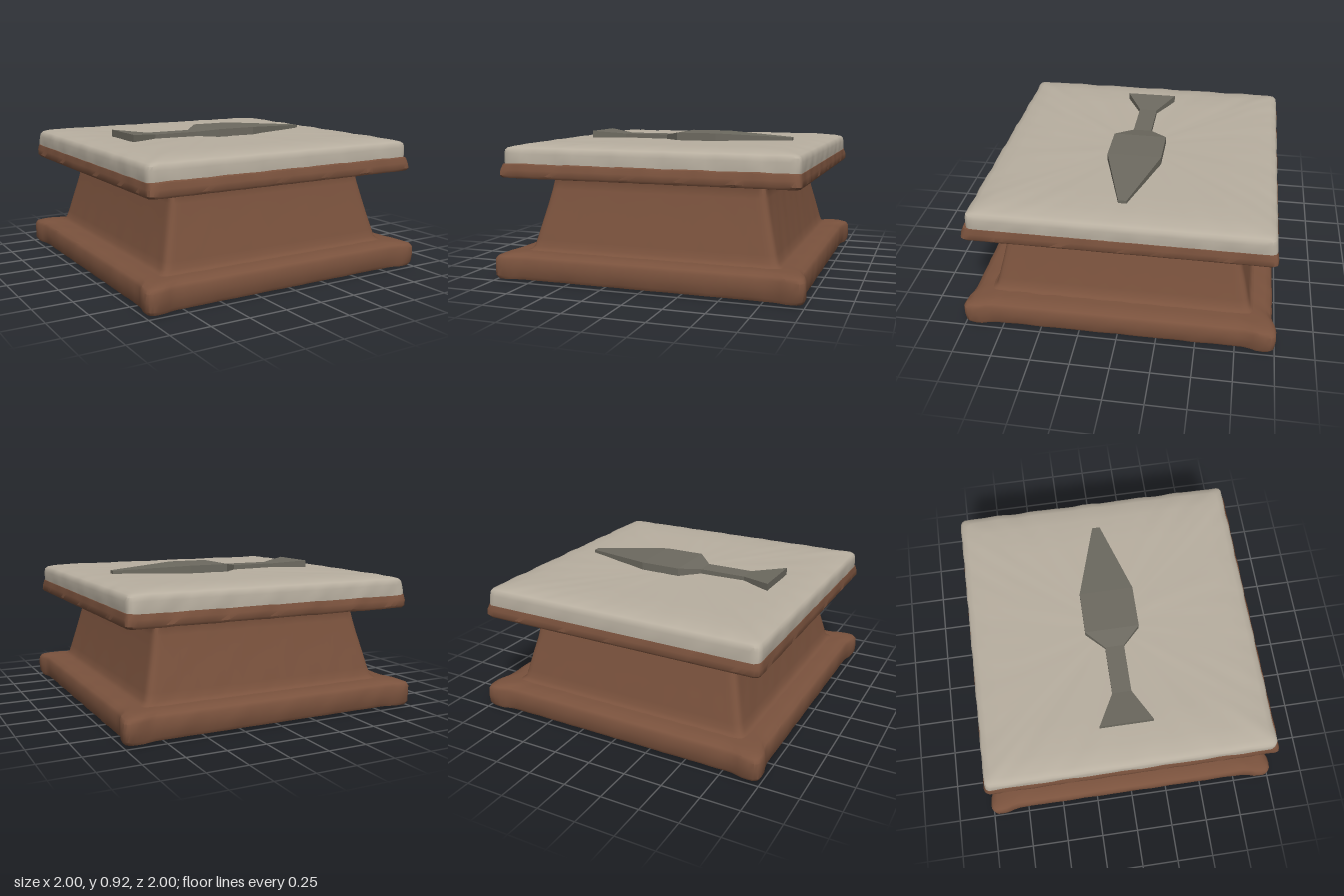
import * as THREE from 'three';
import { toCreasedNormals } from 'three/addons/utils/BufferGeometryUtils.js';

const paint = (name, color) => {
  const m = new THREE.MeshStandardMaterial({ color });
  m.name = name;
  return m;
};

// Gentle hand-hewn unevenness
const wobble = (x, y, z) =>
  Math.sin(x * 17 + y * 23 + 1) * Math.sin(z * 19 - y * 11 + 2) * 0.6 +
  Math.sin(x * 37 + z * 31 + y * 29) * 0.4;

// Square loft through rings of [half width x, half depth z, height], bottom to top
function squareLoft(rings, { round = 0.03, hollow = 0, rough = 0.004, steps = 36 } = {}) {
  const pos = [], index = [], count = steps * 4;
  rings.forEach(([hx, hz, y]) => {
    const h = Math.min(hx, hz), r = Math.min(round, h * 0.5) / h;
    for (let side = 0; side < 4; side++) {
      for (let k = 0; k < steps; k++) {
        const t = -Math.cos((k / steps) * Math.PI) * 0.5 + (k / steps - 0.5);
        // Round the corner
        let u = t, v = 1;
        const cu = THREE.MathUtils.clamp(t, r - 1, 1 - r), du = t - cu;
        const len = Math.hypot(du, r);
        u = cu + du * r / len;
        v = 1 - r + r * r / len;
        // Draw the middle of the side in, leaving the corners proud
        v -= hollow * (1 - THREE.MathUtils.smoothstep(Math.abs(t), 0.82, 0.92));
        const [a, b] = [[u, v], [v, -u], [-u, -v], [-v, u]][side];
        const x = a * hx, z = b * hz, w = wobble(x, y, z) * rough;
        pos.push(x * (1 + w), y + (y > 0.02 ? w * 0.6 : 0), z * (1 + w));
      }
    }
  });
  for (let i = 0; i < rings.length - 1; i++) {
    for (let j = 0; j < count; j++) {
      const n = (j + 1) % count, a = i * count + j, b = i * count + n;
      index.push(a, b, b + count, a, b + count, a + count);
    }
  }
  const g = new THREE.BufferGeometry();
  g.setAttribute('position', new THREE.Float32BufferAttribute(pos, 3));
  g.setIndex(index);
  return toCreasedNormals(g, 0.75);
}

// Box bent to stations of [x, half width, top height]
function inlayGeometry(stations, floor, centreZ) {
  const n = stations.length - 1;
  const g = new THREE.BoxGeometry(n, 1, 1, n, 1, 1);
  const p = g.attributes.position;
  for (let i = 0; i < p.count; i++) {
    const [x, half, top] = stations[Math.round(p.getX(i) + n / 2)];
    p.setXYZ(i, x, p.getY(i) > 0 ? top : floor, centreZ + Math.sign(p.getZ(i)) * half);
  }
  const flat = g.toNonIndexed();
  flat.computeVertexNormals();
  return flat;
}

export function createModel() {
  const group = new THREE.Group();
  const clay = paint('brown clay', 0x7a523d);
  const stone = paint('pale stone', 0xb8afa0);
  const slate = paint('dark slate', 0x6d6a60);
  const add = (name, geometry, material) => {
    const mesh = new THREE.Mesh(geometry, material);
    mesh.name = name;
    group.add(mesh);
    return mesh;
  };

  // Foot slab with proud corners
  add('base', squareLoft([
    [0.001, 0.001, 0], [0.5, 0.5, 0], [0.93, 0.93, 0.002], [0.985, 0.985, 0.012],
    [0.998, 0.998, 0.035], [1, 1, 0.09], [0.998, 0.998, 0.14], [0.985, 0.985, 0.16],
    [0.95, 0.95, 0.174], [0.9, 0.9, 0.179], [0.8, 0.8, 0.18], [0.001, 0.001, 0.18],
  ], { round: 0.04, hollow: 0.025, rough: 0.003 }), clay);

  // Tapered neck with a fillet at the foot
  add('neck', squareLoft([
    [0.86, 0.87, 0.172], [0.825, 0.84, 0.184], [0.808, 0.826, 0.205], [0.795, 0.815, 0.25],
    [0.765, 0.785, 0.37], [0.737, 0.757, 0.48], [0.717, 0.737, 0.57],
    [0.706, 0.724, 0.63], [0.715, 0.732, 0.65], [0.75, 0.76, 0.668],
  ], { round: 0.04, rough: 0.002 }), clay);

  // Brown tray under the top
  add('tray', squareLoft([
    [0.001, 0.001, 0.66], [0.7, 0.7, 0.658], [0.92, 0.92, 0.656], [0.952, 0.95, 0.66],
    [0.963, 0.96, 0.675], [0.961, 0.957, 0.71], [0.954, 0.945, 0.745],
    [0.94, 0.93, 0.75], [0.001, 0.001, 0.75],
  ], { round: 0.03, rough: 0.005 }), clay);

  // Pale top slab, slightly dished
  add('topSlab', squareLoft([
    [0.9, 0.9, 0.735], [0.951, 0.938, 0.742], [0.953, 0.938, 0.77], [0.953, 0.934, 0.81],
    [0.948, 0.93, 0.835], [0.935, 0.918, 0.848], [0.9, 0.885, 0.858],
    [0.8, 0.79, 0.87], [0.6, 0.6, 0.868], [0.3, 0.3, 0.865], [0.001, 0.001, 0.864],
  ], { round: 0.035, rough: 0.004 }), stone).position.z = -0.01;

  // Raised leaf-shaped inlay with a flared tail
  add('inlay', inlayGeometry([
    [-0.685, 0.173, 0.916], [-0.475, 0.062, 0.894], [-0.16, 0.062, 0.894],
    [-0.045, 0.178, 0.916], [0.23, 0.178, 0.916], [0.725, 0.026, 0.889],
  ], 0.85, -0.007), slate);

  return group;
}
